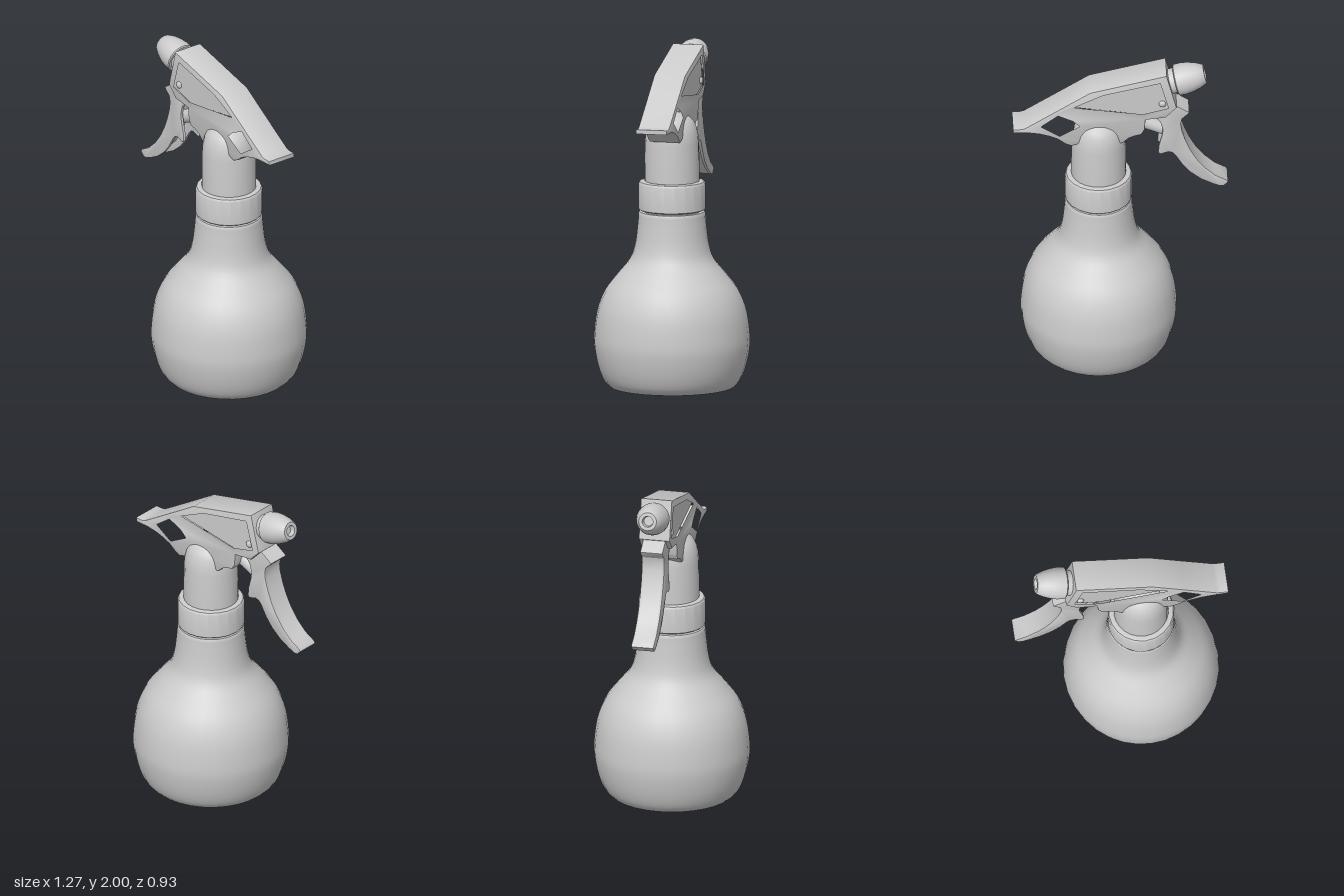
import * as THREE from 'three';
import { toCreasedNormals } from 'three/addons/utils/BufferGeometryUtils.js';

const AXIS_X = 0.125; // the bottle stands off-centre below the spray head
const material = new THREE.MeshStandardMaterial({ color: 0xcccccc });
const vectors = (points) => points.map(([x, y]) => new THREE.Vector2(x, y));

function addMesh(parent, name, geometry, crease = 0.55) {
  const mesh = new THREE.Mesh(toCreasedNormals(geometry, crease), material);
  mesh.name = name;
  parent.add(mesh);
  return mesh;
}

function lathe(points, segments) {
  return new THREE.LatheGeometry(vectors(points), segments);
}

// Flat outline extruded from z0 to z1, with a small bevel kept inside the outline
function slab(outline, z0, z1, bevel = 0, holes = []) {
  const shape = new THREE.Shape(vectors(outline));
  holes.forEach((hole) => shape.holes.push(new THREE.Path(vectors(hole))));
  const geometry = new THREE.ExtrudeGeometry(shape, {
    depth: z1 - z0 - 2 * bevel,
    bevelEnabled: bevel > 0,
    bevelThickness: bevel,
    bevelSize: bevel,
    bevelOffset: -bevel,
    bevelSegments: 2,
  });
  return geometry.translate(0, 0, z0 + bevel);
}

function buildBottle(parent) {
  // Round body swept from the base up to the neck
  const side = new THREE.SplineCurve(vectors([
    [0.37, 0.006], [0.405, 0.045], [0.436, 0.12], [0.458, 0.22], [0.462, 0.31],
    [0.442, 0.46], [0.395, 0.58], [0.32, 0.68], [0.248, 0.77], [0.219, 0.86],
    [0.204, 0.98], [0.199, 1.045],
  ])).getPoints(40).map((p) => [p.x, p.y]);
  const profile = [[0, 0.03], [0.23, 0.03], [0.27, 0.018], [0.31, 0.003], [0.34, 0],
    ...side, [0.194, 1.055], [0.17, 1.055], [0.17, 1.08]];
  addMesh(parent, 'bottle', lathe(profile, 32)).position.x = AXIS_X;

  // Screw collar
  addMesh(parent, 'collar', lathe([
    [0.15, 1.065], [0.194, 1.065], [0.199, 1.07], [0.199, 1.222], [0.192, 1.234],
    [0.178, 1.238], [0.15, 1.238],
  ], 20)).position.x = AXIS_X;

  // Domed stem joining the collar to the head
  addMesh(parent, 'stem', lathe([
    [0.163, 1.2], [0.161, 1.46], [0.157, 1.51], [0.146, 1.56], [0.127, 1.6],
    [0.1, 1.625], [0.06, 1.643], [0, 1.65],
  ], 24)).position.x = AXIS_X;
}

function buildHead(parent) {
  const outline = [
    [-0.275, 1.99], [0.18, 1.878], [0.375, 1.752], [0.565, 1.63], [0.585, 1.624],
    [0.635, 1.623], [0.635, 1.597], [0.535, 1.593], [0.475, 1.584], [0.42, 1.567],
    [0.37, 1.545], [0.325, 1.51], [0.29, 1.494], [0.24, 1.51], [0.125, 1.51],
    [0.02, 1.5], [-0.015, 1.508], [-0.05, 1.54], [-0.085, 1.555], [-0.125, 1.565],
    [-0.145, 1.6], [-0.15, 1.672], [-0.27, 1.685], [-0.335, 1.755],
  ];
  const panel = [[-0.242, 1.945], [0.105, 1.865], [0.285, 1.772], [-0.135, 1.708], [-0.295, 1.75]];
  const window = [[0.37, 1.725], [0.48, 1.64], [0.36, 1.56], [0.23, 1.635], [0.275, 1.68]];
  addMesh(parent, 'head', slab(outline, -0.095, 0.095, 0.007, [panel, window]));

  // Sunken side panels, slightly larger than their opening
  const cx = -0.05, cy = 1.81;
  const insert = panel.map(([x, y]) => [cx + (x - cx) * 1.04, cy + (y - cy) * 1.04]);
  addMesh(parent, 'sidePanels', slab(insert, -0.081, 0.081));

  // Hinge pin with a domed end on each side
  const pin = lathe([
    [0, -0.097], [0.015, -0.094], [0.021, -0.087], [0.021, 0.087], [0.015, 0.094], [0, 0.097],
  ], 16).rotateX(Math.PI / 2);
  addMesh(parent, 'hingePin', pin, 0.9).position.set(-0.25, 1.78, 0);
}

function buildNozzle(parent) {
  const nozzle = new THREE.Group();
  nozzle.name = 'nozzle';
  nozzle.position.set(-0.333, 1.892, 0);
  nozzle.rotation.z = 1.335;
  parent.add(nozzle);

  addMesh(nozzle, 'nozzleNeck', new THREE.CylinderGeometry(0.076, 0.076, 0.1, 24)).position.y = -0.03;
  // Tapered cap with a sunken outlet
  addMesh(nozzle, 'nozzleCap', lathe([
    [0, 0], [0.089, 0], [0.095, 0.006], [0.096, 0.05], [0.09, 0.09], [0.077, 0.135],
    [0.06, 0.172], [0.054, 0.178], [0.033, 0.178], [0.028, 0.15], [0, 0.15],
  ], 24));
}

function buildTrigger(parent) {
  const trigger = new THREE.Group();
  trigger.name = 'trigger';
  parent.add(trigger);

  const front = [
    [-0.25, 1.79], [-0.32, 1.76], [-0.41, 1.7], [-0.405, 1.69], [-0.368, 1.655],
    [-0.36, 1.62], [-0.365, 1.575], [-0.385, 1.505], [-0.415, 1.43], [-0.452, 1.362],
    [-0.5, 1.298], [-0.565, 1.237], [-0.632, 1.2], [-0.64, 1.186], [-0.615, 1.158],
  ];
  const back = [
    [-0.59, 1.159], [-0.55, 1.175], [-0.48, 1.212], [-0.415, 1.265], [-0.37, 1.32],
    [-0.328, 1.39], [-0.31, 1.41], [-0.285, 1.416], [-0.24, 1.4], [-0.226, 1.412],
    [-0.23, 1.465], [-0.247, 1.53], [-0.254, 1.58], [-0.238, 1.635], [-0.2, 1.68],
  ];
  const inner = [
    [-0.59, 1.175], [-0.525, 1.225], [-0.455, 1.29], [-0.405, 1.36], [-0.37, 1.43],
    [-0.335, 1.51], [-0.315, 1.58], [-0.31, 1.64], [-0.25, 1.7],
  ];
  // Front web between two side walls leaves the back hollow
  addMesh(trigger, 'triggerWeb', slab([...front, ...inner], -0.055, 0.055));
  for (const [name, z] of [['triggerWallLeft', 0.059], ['triggerWallRight', -0.059]]) {
    addMesh(trigger, name, slab([...front, ...back], z - 0.009, z + 0.009, 0.004));
  }

  // Piston rod running from the trigger into the head
  const rod = new THREE.LineCurve3(new THREE.Vector3(-0.335, 1.515, 0), new THREE.Vector3(-0.06, 1.635, 0));
  addMesh(parent, 'pistonRod', new THREE.TubeGeometry(rod, 1, 0.042, 16));
}

export function createModel() {
  const model = new THREE.Group();
  model.name = 'sprayBottle';
  buildBottle(model);
  buildHead(model);
  buildNozzle(model);
  buildTrigger(model);
  return model;
}
